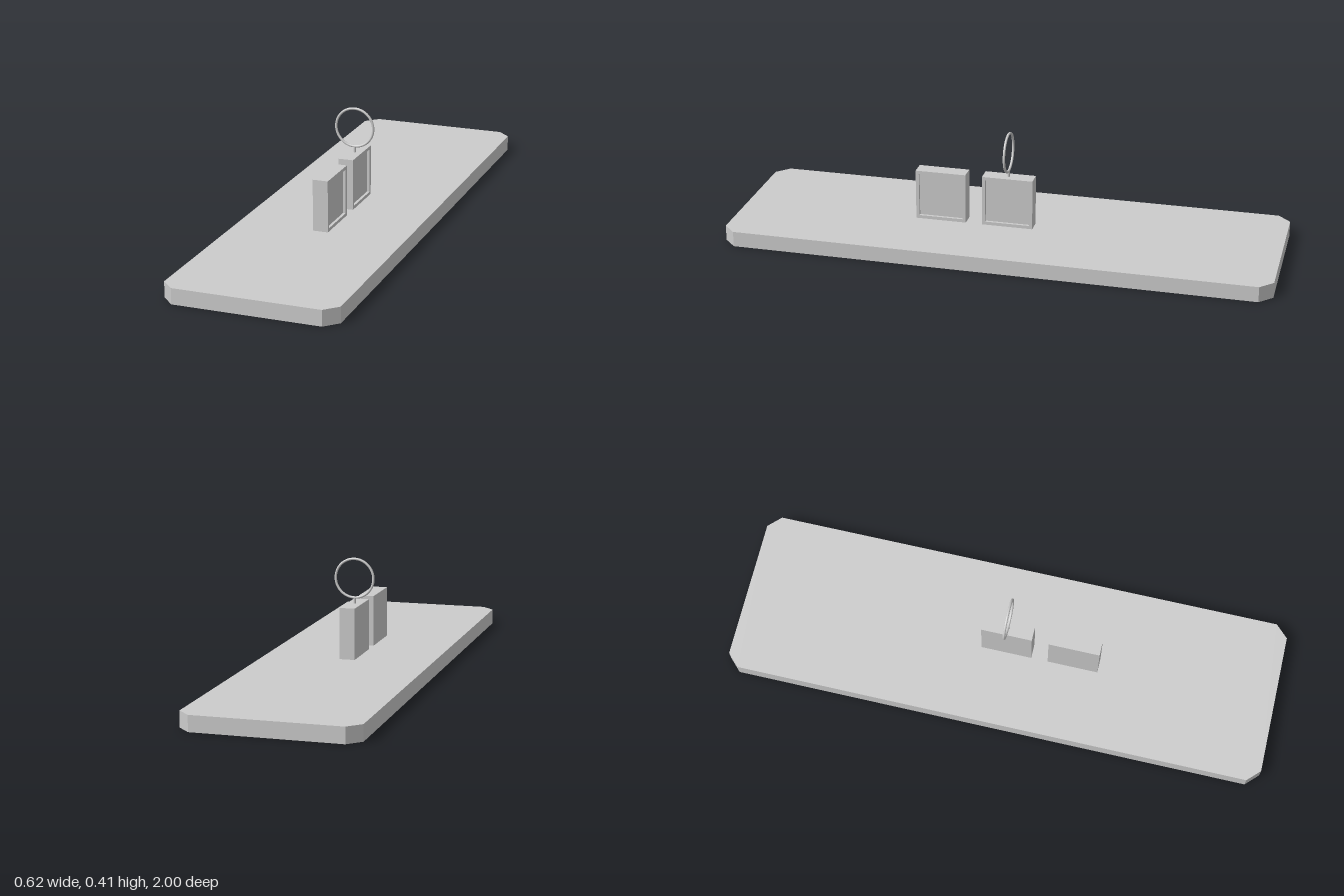
import * as THREE from 'three';

const material = new THREE.MeshStandardMaterial({ color: 0xcccccc });

function add(parent, name, geometry, x = 0, y = 0, z = 0) {
  const mesh = new THREE.Mesh(geometry, material);
  mesh.name = name;
  mesh.position.set(x, y, z);
  parent.add(mesh);
  return mesh;
}

const outline = (points) => points.map(([x, y]) => new THREE.Vector2(x, y));
const square = (h) => outline([[-h, -h], [h, -h], [h, h], [-h, h]]);

// Upright block with a shallow square recess in its +x face
function createBlock(name, z) {
  const half = 0.094, rim = 0.012, recess = 0.01, thickness = 0.056;
  const block = new THREE.Group();
  block.name = name;
  block.position.set(0, 0.057 + half, z);

  add(block, 'blockBody', new THREE.BoxGeometry(thickness - recess, 2 * half, 2 * half), -recess / 2);

  const shape = new THREE.Shape(square(half));
  shape.holes.push(new THREE.Path(square(half - rim)));
  const frame = new THREE.ExtrudeGeometry(shape, { depth: recess, bevelEnabled: false });
  frame.rotateY(Math.PI / 2);
  add(block, 'blockRim', frame, thickness / 2 - recess);
  return block;
}

export function createModel() {
  const model = new THREE.Group();
  model.name = 'boardWithBlocksAndRing';

  // Flat board with clipped corners
  const w = 0.308, l = 1, c = 0.046, height = 0.057;
  const boardShape = new THREE.Shape(outline([
    [-w + c, -l], [w - c, -l], [w, -l + c], [w, l - c],
    [w - c, l], [-w + c, l], [-w, l - c], [-w, -l + c],
  ]));
  const board = new THREE.ExtrudeGeometry(boardShape, { depth: height, bevelEnabled: false });
  board.rotateX(-Math.PI / 2);
  add(model, 'board', board);

  // Two blocks in a row
  model.add(createBlock('centreBlock', -0.001));
  model.add(createBlock('frontBlock', 0.249));

  // Ring on a short stem above the centre block
  add(model, 'ringStem', new THREE.CylinderGeometry(0.0045, 0.0045, 0.024, 16), 0, 0.255, 0);
  add(model, 'ring', new THREE.TorusGeometry(0.071, 0.0045, 16, 64), 0, 0.338, 0);

  return model;
}
